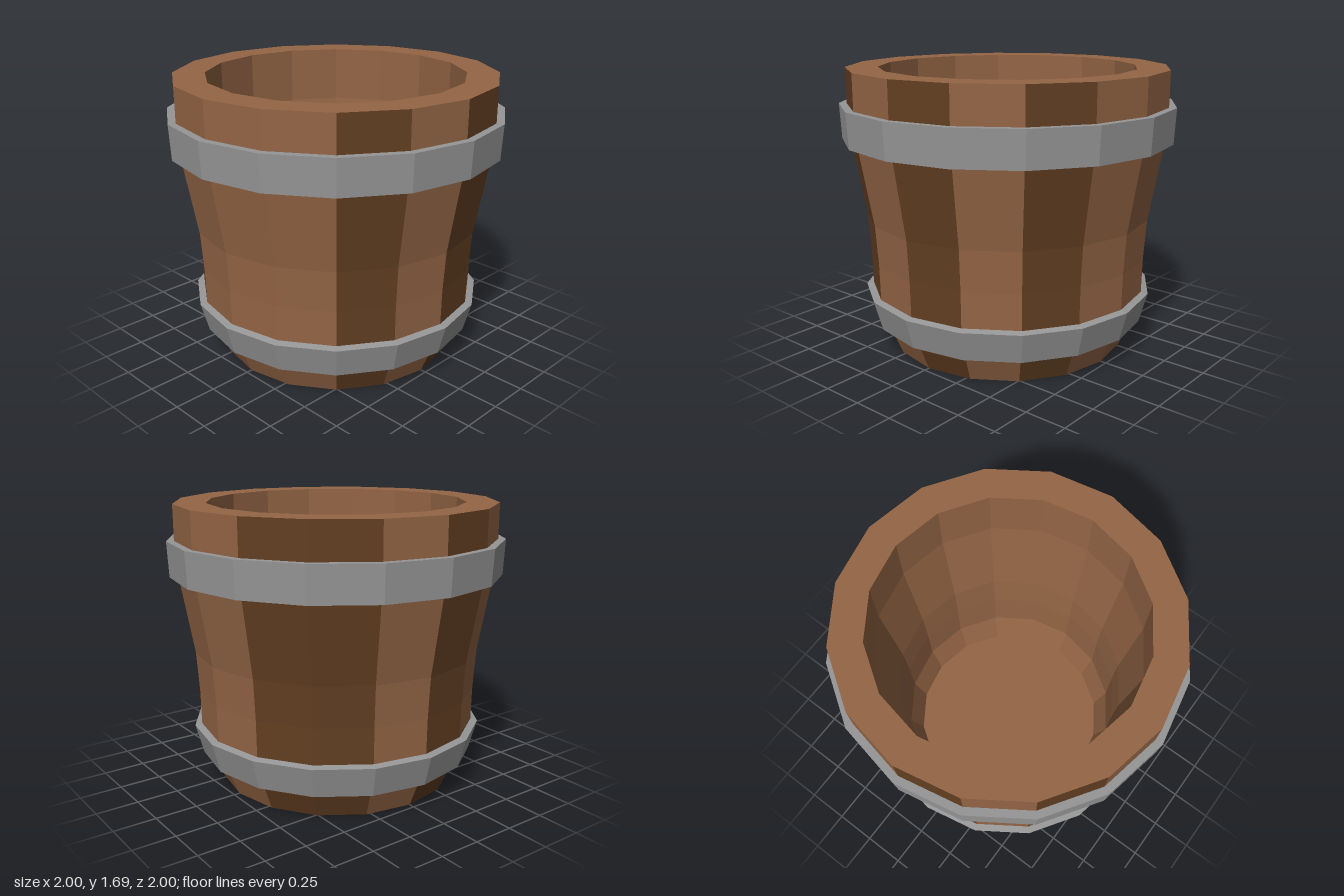
import * as THREE from 'three';
import { mergeGeometries } from 'three/addons/utils/BufferGeometryUtils.js';

const SIDES = 16;
const STEP = (Math.PI * 2) / SIDES;

const flat = (color) => new THREE.MeshStandardMaterial({ color, flatShading: true });

// Revolve a [radius, height] profile into a faceted ring, or a slice of one
function turn(profile, sides = SIDES, start = 0) {
  const points = profile.map(([r, y]) => new THREE.Vector2(r, y));
  return new THREE.LatheGeometry(points, sides, start, sides * STEP);
}

export function createModel() {
  const group = new THREE.Group();
  const lightWood = flat(0x946545);
  const darkWood = flat(0x633f22);
  const metal = flat(0x969696);

  const add = (name, geometry, material) => {
    const mesh = new THREE.Mesh(geometry, material);
    mesh.name = name;
    group.add(mesh);
    return mesh;
  };

  // Outer staves, including the bottom edge, in two wood tones
  const outer = [
    [0.605, 0.1], [0.605, 0], [0.715, 0], [0.84, 0.29], [0.845, 0.57],
    [0.86, 0.81], [0.955, 1.36], [0.955, 1.69],
  ];
  const darkIndices = [0, 2, 5, 6, 8, 10, 14];
  const light = [];
  const dark = [];
  for (let i = 0; i < SIDES; i++) {
    (darkIndices.includes(i) ? dark : light).push(turn(outer, 1, i * STEP));
  }
  add('lightStaves', mergeGeometries(light), lightWood);
  add('darkStaves', mergeGeometries(dark), darkWood);

  // Top rim and inner wall
  add('rimAndInnerWall', turn([
    [0.955, 1.69], [0.765, 1.69], [0.765, 1.36], [0.69, 0.81],
    [0.676, 0.57], [0.67, 0.29], [0.605, 0.1],
  ]), lightWood);

  // Floor, recessed above the bottom edge
  add('floor', turn([[0, 0.06], [0.605, 0.06], [0.605, 0.1], [0, 0.1]]), lightWood);

  // Metal hoops
  add('upperHoop', turn([
    [0.93, 1.27], [0.99, 1.27], [1, 1.48], [0.94, 1.48], [0.93, 1.27],
  ]), metal);
  add('lowerHoop', turn([
    [0.77, 0.17], [0.835, 0.17], [0.883, 0.35], [0.83, 0.362], [0.77, 0.17],
  ]), metal);

  return group;
}
